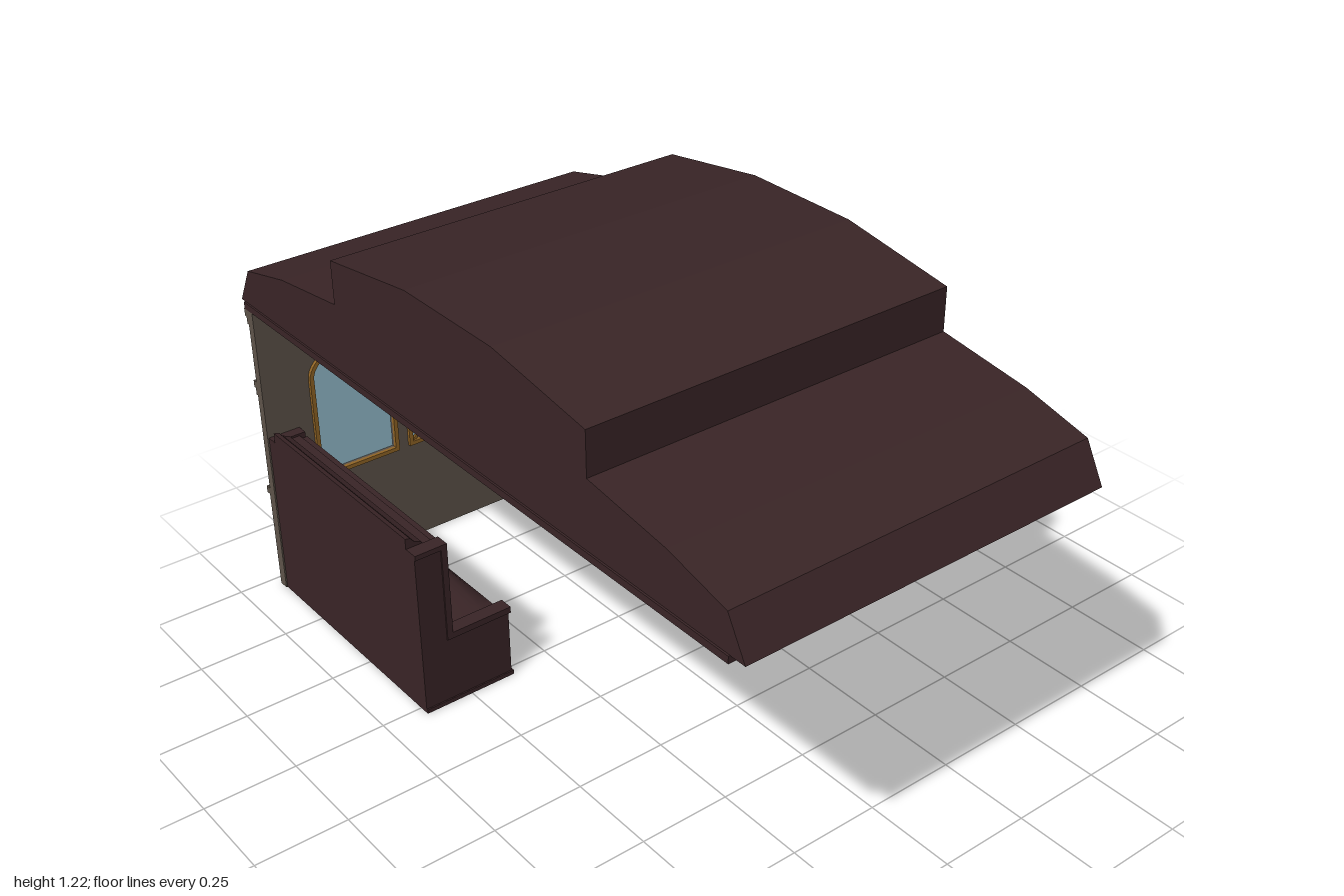
import * as THREE from 'three';

const mat = (name, color) => {
  const m = new THREE.MeshStandardMaterial({ color });
  m.name = name;
  return m;
};

export function createModel() {
  const root = new THREE.Group();
  root.name = 'diningBooth';
  const wood = mat('dark wood', 0x3a2527), plaster = mat('wall taupe', 0x5f554b);
  const glass = mat('pale blue glass', 0x98c2d2), gold = mat('brass', 0x936626), iron = mat('dark iron', 0x2a1d14);

  const add = (parent, name, geo, m, x = 0, y = 0, z = 0) => {
    const mesh = new THREE.Mesh(geo, m);
    mesh.name = name;
    mesh.position.set(x, y, z);
    parent.add(mesh);
    return mesh;
  };
  // Box given by its minimum and maximum corners
  const box = (parent, name, m, x0, x1, y0, y1, z0, z1) =>
    add(parent, name, new THREE.BoxGeometry(x1 - x0, y1 - y0, z1 - z0), m, (x0 + x1) / 2, (y0 + y1) / 2, (z0 + z1) / 2);
  const poly = pts => new THREE.Shape(pts.map(p => new THREE.Vector2(...p)));
  const extrude = (shape, depth) => new THREE.ExtrudeGeometry(shape, { depth, bevelEnabled: false, curveSegments: 10 });
  const group = (parent, name, x = 0, y = 0, z = 0) => {
    const g = new THREE.Group();
    g.name = name;
    g.position.set(x, y, z);
    parent.add(g);
    return g;
  };

  // Stepped roof, extruded along x
  const half = [[1, 0.875], [0.945, 0.975], [0.76, 1.02], [0.5, 1.055], [0.5, 1.17], [0.17, 1.22]];
  const profile = [...half, ...half.map(([z, y]) => [-z, y]).reverse()];
  const roof = add(root, 'roof', extrude(poly(profile), 1.025), wood, 0.39, 0, 0);
  roof.rotation.y = -Math.PI / 2;
  roof.position.x = 0.39;
  roof.geometry.translate(0, 0, 0);
  box(root, 'ceilingPlate', wood, -0.64, 0.34, 0.857, 0.876, -0.98, 0.955);

  // Arched opening outline, drawn clockwise or not as Shape or Path
  const arch = (P, cx, w, y0, spring, top) => {
    const p = new P();
    p.moveTo(cx - w, y0);
    p.lineTo(cx + w, y0);
    p.lineTo(cx + w, spring);
    p.absellipse(cx, spring, w, top - spring, 0, Math.PI, false, 0);
    p.closePath();
    return p;
  };
  const windows = [
    { name: 'leftWindow', cx: 0.077, w: 0.127, spring: 0.615, top: 0.7 },
    { name: 'rightWindow', cx: -0.375, w: 0.127, spring: 0.615, top: 0.7 },
    { name: 'latticeWindow', cx: -0.149, w: 0.065, spring: 0.615, top: 0.642 },
  ];
  const sill = 0.305, rim = 0.012;
  const inner = (P, o) => arch(P, o.cx, o.w - rim, sill + rim, o.spring, o.top - rim);

  // Wall with openings, frames and panes
  const wallShape = poly([[-0.64, 0], [0.34, 0], [0.34, 0.857], [-0.64, 0.857]]);
  windows.forEach(o => wallShape.holes.push(inner(THREE.Path, o)));
  add(root, 'wall', extrude(wallShape, 0.025), plaster, 0, 0, -0.967);
  windows.forEach(o => {
    const frame = arch(THREE.Shape, o.cx, o.w, sill, o.spring, o.top);
    frame.holes.push(inner(THREE.Path, o));
    add(root, o.name + 'Frame', extrude(frame, 0.012), gold, 0, 0, -0.944);
    add(root, o.name + 'Pane', extrude(inner(THREE.Shape, o), 0.005), glass, 0, 0, -0.955);
  });
  add(root, 'blindArch', extrude(inner(THREE.Shape, windows[2]), 0.005), plaster, 0, 0, -0.96);

  // Diagonal lattice bars, clipped to the narrow window
  const lattice = group(root, 'lattice', -0.149, 0, -0.943);
  const lw = 0.056, yb = 0.312, yt = 0.63;
  for (const s of [1, -1]) {
    const slope = 1.12 * s;
    for (let y0 = 0.236; y0 < 0.72; y0 += 0.066) {
      const xs = [(yb - y0) / slope, (yt - y0) / slope].sort((a, b) => a - b);
      const a = Math.max(-lw, xs[0]), b = Math.min(lw, xs[1]);
      if (b - a < 0.01) continue;
      const bar = add(lattice, 'latticeBar', new THREE.BoxGeometry((b - a) * Math.hypot(1, slope), 0.009, 0.007),
        gold, (a + b) / 2, y0 + slope * (a + b) / 2, s * 0.001);
      bar.rotation.z = Math.atan(slope);
    }
  }

  // Mouldings on the back of the wall
  box(root, 'backDado', plaster, -0.64, 0.34, 0, 0.295, -0.971, -0.966);
  box(root, 'backSill', plaster, -0.64, 0.34, 0.295, 0.315, -0.985, -0.966);
  box(root, 'backCornice', plaster, -0.64, 0.34, 0.835, 0.857, -0.983, -0.966);
  box(root, 'backCorniceStep', plaster, -0.64, 0.34, 0.815, 0.835, -0.975, -0.966);
  for (const [x0, x1] of [[-0.64, -0.5], [0.204, 0.34]]) {
    box(root, 'backBand', plaster, x0, x1, 0.625, 0.645, -0.982, -0.966);
    box(root, 'backBandStep', plaster, x0, x1, 0.605, 0.625, -0.974, -0.966);
  }

  // Padded block: sides bulge outwards along one axis
  const cushion = (sx, sy, sz, axis, bulge) => {
    const g = new THREE.BoxGeometry(sx, sy, sz, 8, 8, 20), p = g.attributes.position, v = new THREE.Vector3();
    const size = new THREE.Vector3(sx, sy, sz), others = ['x', 'y', 'z'].filter(k => k !== axis);
    for (let i = 0; i < p.count; i++) {
      v.fromBufferAttribute(p, i);
      const f = others.reduce((t, k) => t * (1 - Math.pow(Math.abs(2 * v[k] / size[k]), 4)), 1);
      v[axis] += bulge * f * (v[axis] / size[axis] + 0.5);
      p.setXYZ(i, v.x, v.y, v.z);
    }
    g.computeVertexNormals();
    return g;
  };

  // One seat side of a bench, back plane at x = 0, facing +x
  const benchHalf = (parent, name) => {
    const g = group(parent, name), L = 0.362;
    const end = poly([[0, 0.004], [0.262, 0.004], [0.262, 0.205], [0.088, 0.205], [0.088, 0.475], [0, 0.475]]);
    for (const s of [-1, 1]) {
      const z0 = s > 0 ? L - 0.032 : -L, z1 = z0 + 0.032;
      add(g, 'endPanel', extrude(end, 0.032), wood, 0, 0, z0);
      box(g, 'endFoot', wood, 0, 0.267, 0, 0.012, z0 - 0.004, z1 + 0.004);
      box(g, 'armTrim', wood, 0.075, 0.267, 0.197, 0.215, z0 - 0.004, z1 + 0.004);
      box(g, 'postTrim', wood, 0.075, 0.092, 0.2, 0.484, z0 - 0.004, z1 + 0.004);
      box(g, 'postCap', wood, 0, 0.092, 0.47, 0.484, z0 - 0.004, z1 + 0.004);
      // Drawer with pull
      const c = s * 0.162;
      box(g, 'drawer', wood, 0.245, 0.256, 0.02, 0.098, c - 0.153, c + 0.153);
      box(g, 'drawerPanel', wood, 0.25, 0.26, 0.032, 0.086, c - 0.14, c + 0.14);
      box(g, 'drawerPull', iron, 0.258, 0.265, 0.054, 0.062, c - 0.02, c + 0.02);
    }
    box(g, 'base', wood, 0, 0.247, 0.003, 0.185, -L + 0.03, L - 0.03);
    box(g, 'plinth', wood, 0, 0.258, 0, 0.014, -L + 0.03, L - 0.03);
    box(g, 'seatRail', wood, 0.2, 0.258, 0.1, 0.113, -L + 0.03, L - 0.03);
    box(g, 'backBoard', wood, 0, 0.075, 0.18, 0.478, -L + 0.03, L - 0.03);
    add(g, 'seatCushion', cushion(0.19, 0.08, 0.655, 'y', 0.04), wood, 0.163, 0.15, 0);
    add(g, 'seatFrontPad', cushion(0.04, 0.075, 0.655, 'x', 0.012), wood, 0.235, 0.153, 0);
    add(g, 'backCushion', cushion(0.05, 0.265, 0.655, 'x', 0.03), wood, 0.072, 0.335, 0);
    const roll = poly([[0, 0.47], [0.05, 0.47], [0.045, 0.488], [0.025, 0.497], [0.014, 0.51], [0, 0.513]]);
    add(g, 'topRail', extrude(roll, 0.65), wood, 0, 0, -0.325);
    return g;
  };
  const fullBench = group(root, 'doubleBench', 0.373, 0, -0.585);
  benchHalf(fullBench, 'outerSeat');
  benchHalf(fullBench, 'innerSeat').rotation.y = Math.PI;
  benchHalf(group(root, 'singleBench', -0.636, 0, -0.585), 'seat');

  const lathe = (pts, n) => {
    const g = new THREE.LatheGeometry(pts.map(p => new THREE.Vector2(...p)), n).toNonIndexed();
    g.computeVertexNormals();
    return g;
  };
  const tube = (pts, r) => new THREE.TubeGeometry(
    new THREE.CatmullRomCurve3(pts.map(p => new THREE.Vector3(...p))), 16, r, 5);

  // Ceiling lamp: drum, bowl and iron scrollwork
  const lamp = group(root, 'ceilingLamp', -0.148, 0, 0);
  add(lamp, 'lampDrum', lathe([[0, 0.808], [0.1, 0.808], [0.105, 0.815], [0.105, 0.858]], 12), gold);
  add(lamp, 'lampBowl', lathe([[0, 0.757], [0.045, 0.764], [0.075, 0.783], [0.09, 0.81]], 12), gold);
  const ring = add(lamp, 'lampRing', new THREE.TorusGeometry(0.093, 0.003, 5, 24), iron, 0, 0.806, 0);
  ring.rotation.x = Math.PI / 2;
  for (let i = 0; i < 8; i++) {
    const arm = group(lamp, 'lampScroll');
    arm.rotation.y = i * Math.PI / 4;
    add(arm, 'scrollRib', tube([[0.094, 0.806, 0], [0.1, 0.788, 0], [0.082, 0.779, 0], [0.05, 0.761, 0], [0.012, 0.753, 0]], 0.003), iron);
    add(arm, 'scrollCurl', new THREE.TorusGeometry(0.008, 0.0022, 5, 10), iron, 0.09, 0.785, 0);
  }
  add(lamp, 'lampFinial', new THREE.SphereGeometry(0.009, 8, 6), iron, 0, 0.752, 0);

  // Wall lamp: teardrop backplate, iron arm and flared shade
  const sconce = group(root, 'wallLamp', 0.372, 0, -0.895);
  const plate = new THREE.Shape();
  plate.moveTo(0, 0.608);
  plate.bezierCurveTo(0.02, 0.612, 0.038, 0.635, 0.038, 0.662);
  plate.bezierCurveTo(0.038, 0.69, 0.02, 0.705, 0, 0.71);
  plate.bezierCurveTo(-0.02, 0.705, -0.038, 0.69, -0.038, 0.662);
  plate.bezierCurveTo(-0.038, 0.635, -0.02, 0.612, 0, 0.608);
  add(sconce, 'backplate', extrude(plate, 0.012), gold, 0, 0, -0.05);
  add(sconce, 'sconceArm', tube([[0, 0.635, -0.04], [0, 0.625, -0.025], [0, 0.64, -0.012], [0, 0.672, -0.022], [0, 0.69, -0.008], [0, 0.71, 0]], 0.004), iron);
  const curl = add(sconce, 'armCurl', new THREE.TorusGeometry(0.011, 0.003, 5, 12), iron, 0, 0.675, 0.008);
  curl.rotation.y = Math.PI / 2;
  add(sconce, 'candleCup', new THREE.CylinderGeometry(0.01, 0.006, 0.02, 8), iron, 0, 0.7, 0);
  add(sconce, 'shade', lathe([[0, 0.712], [0.036, 0.706], [0.026, 0.728], [0.02, 0.75], [0.023, 0.776], [0, 0.77]], 10), gold);
  return root;
}
